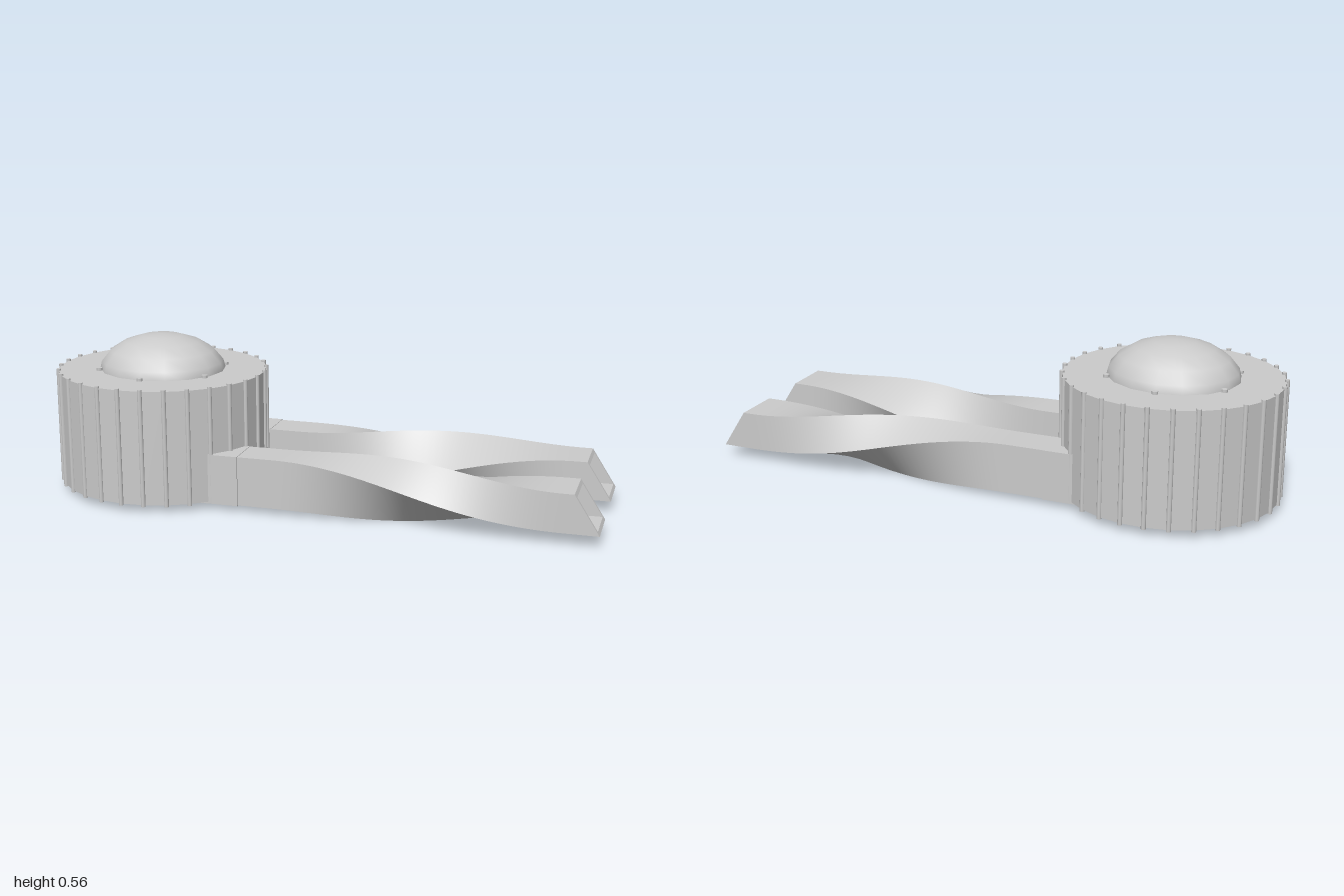
import * as THREE from 'three';

const grey = new THREE.MeshStandardMaterial({ color: 0xcccccc });
const flatGrey = new THREE.MeshStandardMaterial({ color: 0xcccccc, flatShading: true });
const tubeGrey = new THREE.MeshStandardMaterial({ color: 0xcccccc, side: THREE.DoubleSide });

const DRUM_X = -0.615, RX = 0.376, RZ = 0.36, SIDES = 29;
const ARM_Y = 0.1125, ARM_Z = 0.183;

function add(parent, name, geometry, material, x = 0, y = 0, z = 0) {
  const mesh = new THREE.Mesh(geometry, material);
  mesh.name = name;
  mesh.position.set(x, y, z);
  parent.add(mesh);
  return mesh;
}

// Four corners of the rectangular tube at station x, turned a quarter from root to tip
function section(x, inset) {
  const t = THREE.MathUtils.clamp((x + 0.12) / 1.0, 0, 1);
  const a = t * t * (3 - 2 * t) * Math.PI / 2;
  const w = 0.0675 - inset, h = 0.0875 - inset;
  return [[-w, h], [w, h], [w, -h], [-w, -h]].map(([z, y]) => {
    const cy = y * Math.cos(a) - z * Math.sin(a);
    const cz = z * Math.cos(a) + y * Math.sin(a);
    // the tip is cut on a slant: long below, short above
    const cutX = x >= 1 ? 0.957 - cy * 0.64 : x;
    return new THREE.Vector3(cutX, cy, cz);
  });
}

// Hollow twisted tube: outer walls, inner walls and a rim at the tip
function twistedTube() {
  const pos = [], index = [];
  const xs = [-0.4];
  for (let i = 0; i <= 40; i++) xs.push(-0.12 + i / 40);
  xs.push(1);
  const strip = (rows, flip) => {
    const base = pos.length / 3;
    rows.forEach(([p, q]) => pos.push(...p.toArray(), ...q.toArray()));
    for (let i = 0; i < rows.length - 1; i++) {
      const a = base + i * 2, b = a + 1, c = a + 2, d = a + 3;
      if (flip) index.push(a, c, b, b, c, d);
      else index.push(a, b, c, b, d, c);
    }
  };
  for (let k = 0; k < 4; k++) {
    const n = (k + 1) % 4;
    for (const inset of [0, 0.012]) {
      strip(xs.map(x => { const s = section(x, inset); return [s[k], s[n]]; }), inset > 0);
    }
    const o = section(1, 0), s = section(1, 0.012);
    strip([[o[k], o[n]], [s[k], s[n]]], false);
  }
  const g = new THREE.BufferGeometry();
  g.setAttribute('position', new THREE.Float32BufferAttribute(pos, 3));
  g.setIndex(index);
  g.computeVertexNormals();
  return g;
}

export function createModel() {
  const model = new THREE.Group();
  model.name = 'twinArmDrum';

  // Faceted drum, slightly oval
  const body = new THREE.CylinderGeometry(1, 1, 0.406, SIDES, 1, false, -Math.PI / 2);
  body.scale(RX, 1, RZ);
  add(model, 'drum', body, flatGrey, DRUM_X, 0.233, 0);

  // Slim upright ribs on every corner of the drum
  const ribs = new THREE.Group();
  ribs.name = 'drumRibs';
  model.add(ribs);
  const ribGeo = new THREE.CylinderGeometry(0.0085, 0.0085, 0.418, 8);
  for (let i = 0; i < SIDES; i++) {
    const a = i / SIDES * Math.PI * 2;
    add(ribs, 'rib', ribGeo, grey, DRUM_X - RX * Math.cos(a), 0.234, RZ * Math.sin(a));
  }

  // Dome on top
  const dome = new THREE.SphereGeometry(1, 16, 5, 0, Math.PI * 2, 0, Math.PI / 2);
  dome.scale(0.233, 0.143, 0.213);
  add(model, 'dome', dome, grey, DRUM_X, 0.42, 0);

  // Small studs around the foot of the dome
  const studGeo = new THREE.CylinderGeometry(0.011, 0.011, 0.012, 8);
  for (let i = 0; i < 6; i++) {
    const a = (i + 0.5) / 6 * Math.PI * 2;
    add(model, 'domeStud', studGeo, grey, DRUM_X + 0.233 * Math.cos(a), 0.44, 0.213 * Math.sin(a));
  }

  // Mirrored pair of twisted arms with root collars
  const armGeo = twistedTube();
  for (const side of [1, -1]) {
    const arm = new THREE.Group();
    arm.name = side > 0 ? 'frontArm' : 'backArm';
    arm.position.set(0, ARM_Y, side * ARM_Z);
    arm.scale.z = side;
    add(arm, 'twistedTube', armGeo, tubeGrey);
    add(arm, 'rootCollar', new THREE.BoxGeometry(0.14, 0.178, 0.139), grey, -0.315, 0, 0.003);
    model.add(arm);
  }
  return model;
}
